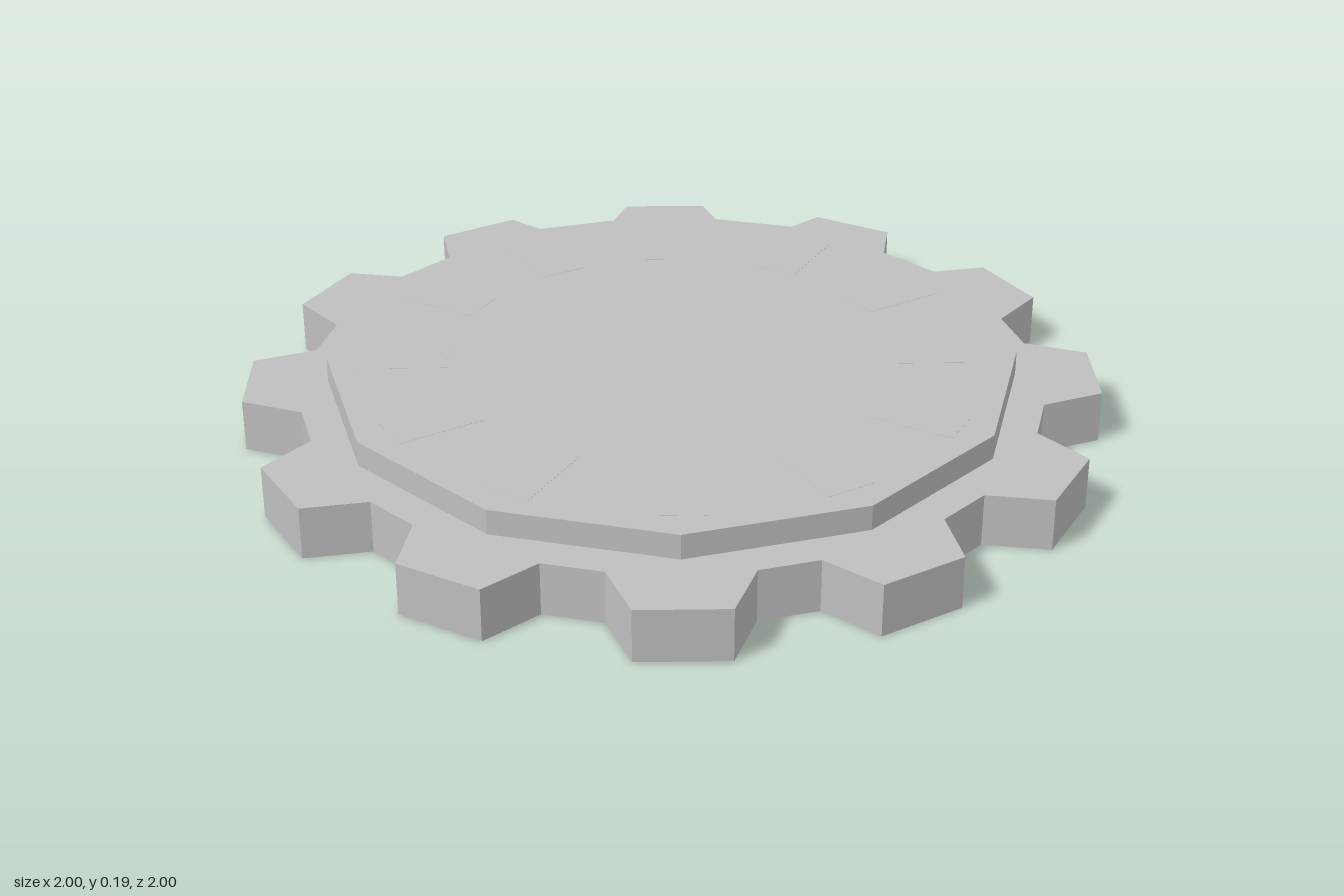
import * as THREE from 'three';

const TEETH = 12;
const STEP = (Math.PI * 2) / TEETH;
const deg = THREE.MathUtils.degToRad;

// Point at radius r, angle a measured from +z towards +x
const polar = (r, a) => [r * Math.sin(a), r * Math.cos(a)];

// Open-bottomed cap: vertical walls around a star-shaped outline, closed by a flat lid
function capGeometry(outline, y0, y1) {
  const pos = [];
  outline.forEach(([px, pz], i) => {
    const [qx, qz] = outline[(i + 1) % outline.length];
    pos.push(px, y0, pz, qx, y0, qz, qx, y1, qz);
    pos.push(px, y0, pz, qx, y1, qz, px, y1, pz);
    pos.push(0, y1, 0, px, y1, pz, qx, y1, qz);
  });
  const geo = new THREE.BufferGeometry();
  geo.setAttribute('position', new THREE.Float32BufferAttribute(pos, 3));
  geo.computeVertexNormals();
  return geo;
}

export function createModel() {
  const group = new THREE.Group();
  group.name = 'gear';
  const metal = new THREE.MeshStandardMaterial({ color: 0xbfbfbf, side: THREE.DoubleSide });
  metal.name = 'light grey';

  const add = (name, geo) => {
    const mesh = new THREE.Mesh(geo, metal);
    mesh.name = name;
    group.add(mesh);
    return mesh;
  };

  // Outlines: each tooth has two root and two tip corners, each plate corner sits on a tooth centre
  const gearOutline = [];
  const plateOutline = [];
  for (let i = 0; i < TEETH; i++) {
    const mid = (i + 0.5) * STEP;
    gearOutline.push(
      polar(0.876, mid - deg(10.4)),
      polar(1.012, mid - deg(5.9)),
      polar(1.012, mid + deg(5.9)),
      polar(0.876, mid + deg(10.4)),
    );
    plateOutline.push(polar(0.817, mid));
  }

  // Hollow toothed ring and the raised plate on it
  add('toothedBody', capGeometry(gearOutline, 0, 0.126));
  add('raisedPlate', capGeometry(plateOutline, 0.126, 0.186));

  // Nearly flush radial inlays near the plate corners
  const inlay = new THREE.BoxGeometry(0.115, 0.002, 0.21);
  for (let i = 0; i < TEETH; i++) {
    const mid = (i + 0.5) * STEP;
    const [x, z] = polar(0.635, mid);
    const mesh = add('inlay', inlay);
    mesh.position.set(x, 0.1855, z);
    mesh.rotation.y = mid;
  }
  return group;
}
